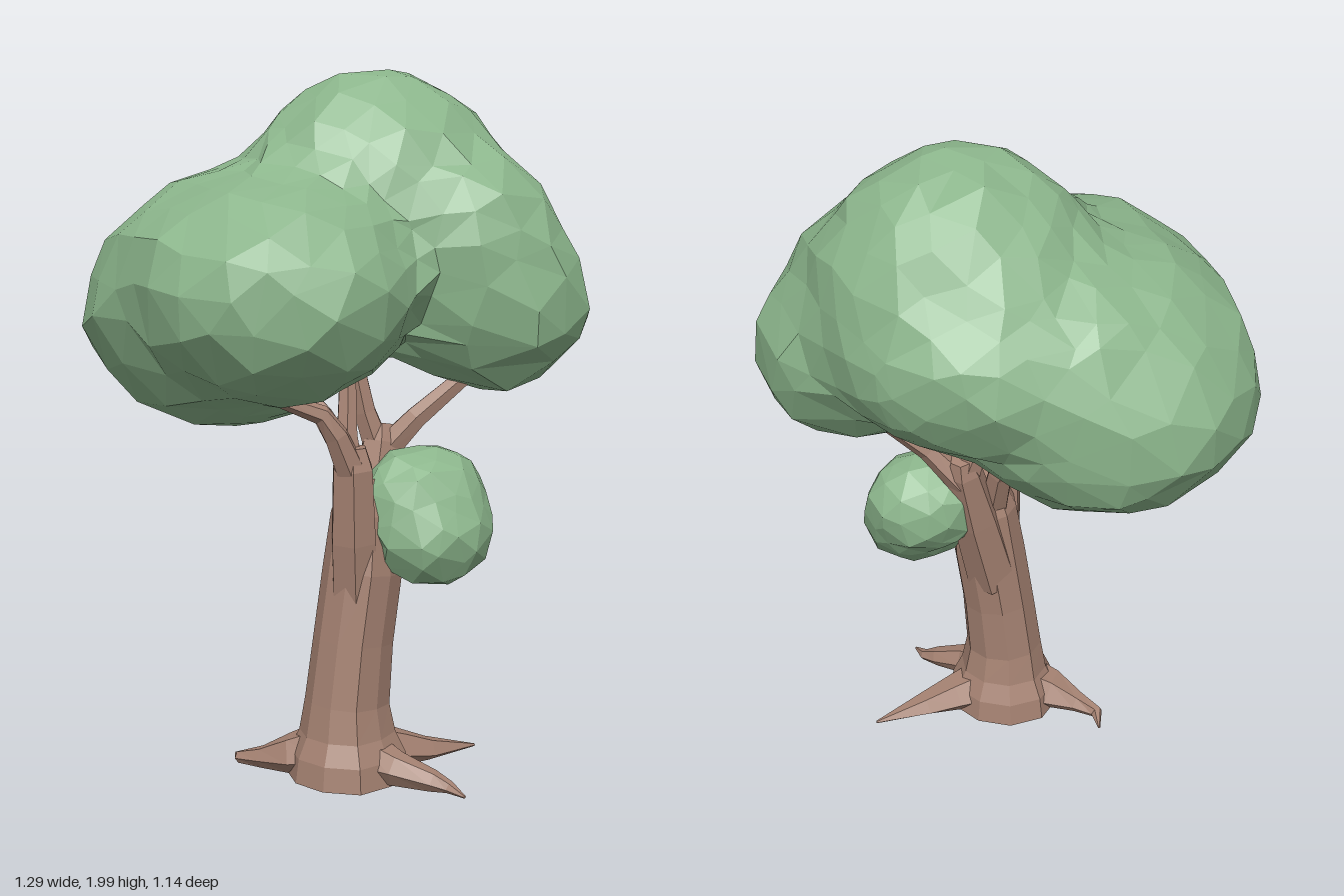
import * as THREE from 'three';
import { mergeVertices } from 'three/addons/utils/BufferGeometryUtils.js';

const V = (a) => new THREE.Vector3(...a);
const bark = new THREE.MeshStandardMaterial({ color: 0xa58272, flatShading: true, side: THREE.DoubleSide });
const leaf = new THREE.MeshStandardMaterial({ color: 0x8cb68c, flatShading: true });

// small seeded generator, -1..1
function seeded(seed) {
  let s = seed;
  return () => {
    s = (s * 16807) % 2147483647;
    return (s / 2147483647) * 2 - 1;
  };
}

// tapered limb lofted through rows of [x, y, z, radius], open at the start, capped at the end
function limb(rows, sides, ref, wobble = 0) {
  const rand = seeded(rows.length * 71 + sides);
  const pts = rows.map((r) => V(r.slice(0, 3)));
  const bumps = Array.from({ length: sides }, () => 1 + wobble * rand());
  const pos = [];
  const index = [];
  const last = rows.length - 1;
  rows.forEach((row, i) => {
    const t = pts[Math.min(i + 1, last)].clone().sub(pts[Math.max(i - 1, 0)]).normalize();
    const n = ref.clone().cross(t).normalize();
    const b = t.clone().cross(n);
    for (let j = 0; j < sides; j++) {
      const a = (j / sides) * Math.PI * 2;
      const r = row[3] * bumps[j];
      const p = pts[i].clone().addScaledVector(n, Math.cos(a) * r).addScaledVector(b, Math.sin(a) * r);
      pos.push(p.x, Math.max(p.y, 0), p.z);
      if (i < last) {
        const k = i * sides;
        const j2 = (j + 1) % sides;
        index.push(k + j, k + j2, k + sides + j2, k + j, k + sides + j2, k + sides + j);
      }
    }
  });
  const c = pos.length / 3;
  pos.push(...pts[last].toArray());
  for (let j = 0; j < sides; j++) index.push(c, last * sides + j, last * sides + ((j + 1) % sides));
  const g = new THREE.BufferGeometry();
  g.setAttribute('position', new THREE.Float32BufferAttribute(pos, 3));
  g.setIndex(index);
  g.computeVertexNormals();
  return g;
}

// faceted foliage: a sphere shrunk from outside onto a soft union of ellipsoids
function foliage(center, lobes, detail, seed, rough) {
  const rand = seeded(seed);
  const parts = lobes.map(([c, r]) => ({ c: V(c), r: V(r) }));
  const field = (p) => {
    let sum = 0;
    for (const { c, r } of parts) sum += Math.exp(-12 * (p.clone().sub(c).divide(r).length() - 1));
    return -Math.log(sum) / 12;
  };
  let g = new THREE.IcosahedronGeometry(1, detail);
  g.deleteAttribute('uv');
  g.deleteAttribute('normal');
  g = mergeVertices(g, 1e-4);
  const pos = g.attributes.position;
  const origin = V(center);
  const jitter = 0.3 / (detail + 1);
  for (let i = 0; i < pos.count; i++) {
    const d = new THREE.Vector3().fromBufferAttribute(pos, i);
    d.add(V([rand(), rand(), rand()]).multiplyScalar(jitter)).normalize();
    let t = 1.1;
    while (t > 0.05 && field(origin.clone().addScaledVector(d, t)) > 0) t -= 0.005;
    d.multiplyScalar(t + rough * rand()).add(origin);
    pos.setXYZ(i, d.x, d.y, d.z);
  }
  g.computeVertexNormals();
  return g;
}

export function createModel() {
  const tree = new THREE.Group();
  tree.name = 'tree';
  const add = (name, geometry, material) => {
    const m = new THREE.Mesh(geometry, material);
    m.name = name;
    tree.add(m);
  };
  const up = V([0, 1, 0]);
  const front = V([0, 0, 1]);

  // trunk with a flared foot
  add('trunk', limb([
    [-0.07, 0, 0.23, 0.175], [-0.07, 0.07, 0.23, 0.165], [-0.07, 0.13, 0.23, 0.137],
    [-0.07, 0.22, 0.23, 0.12], [-0.05, 0.4, 0.23, 0.113], [-0.02, 0.6, 0.23, 0.112],
    [0, 0.76, 0.22, 0.1], [0.01, 0.86, 0.21, 0.06],
  ], 10, front, 0.05), bark);

  // roots creeping over the ground
  const roots = {
    leftRoot: [[-0.02, 0.06, 0.23, 0.09], [0.1, 0.04, 0.24, 0.065], [0.2, 0.018, 0.25, 0.045], [0.37, 0.004, 0.25, 0.004]],
    frontRoot: [[-0.04, 0.06, 0.28, 0.08], [0, 0.05, 0.39, 0.05], [0.07, 0.025, 0.47, 0.033], [0.1, 0.012, 0.51, 0.02], [0.11, 0.004, 0.57, 0.004]],
    rightRoot: [[-0.1, 0.06, 0.2, 0.1], [-0.19, 0.04, 0.13, 0.07], [-0.25, 0.025, 0.06, 0.035], [-0.29, 0.015, 0, 0.02], [-0.27, 0.004, -0.06, 0.004]],
  };
  for (const [name, rows] of Object.entries(roots)) add(name, limb(rows, 6, up), bark);

  // two main stems and the twigs that fork into the crown
  const branches = {
    rightStem: [[-0.05, 0.45, 0.25, 0.07], [-0.07, 0.7, 0.27, 0.07], [-0.08, 0.91, 0.28, 0.062], [-0.08, 0.97, 0.28, 0.04]],
    leftStem: [[-0.02, 0.5, 0.2, 0.085], [0.05, 0.75, 0.17, 0.075], [0.1, 0.94, 0.14, 0.055], [0.11, 0.99, 0.13, 0.035]],
    rightOuterTwig: [[-0.09, 0.9, 0.29, 0.045], [-0.14, 1.01, 0.29, 0.036], [-0.18, 1.07, 0.28, 0.028], [-0.3, 1.12, 0.25, 0.02]],
    rightInnerTwig: [[-0.08, 0.9, 0.26, 0.045], [-0.08, 1, 0.25, 0.032], [-0.06, 1.15, 0.22, 0.026]],
    leftInnerTwig: [[0.1, 0.9, 0.14, 0.045], [0.06, 1.03, 0.12, 0.035], [0.03, 1.2, 0.1, 0.028]],
    leftOuterTwig: [[0.1, 0.9, 0.14, 0.045], [0.19, 1.01, 0.19, 0.035], [0.35, 1.15, 0.25, 0.026]],
    backTwig: [[-0.01, 0.72, 0.2, 0.05], [-0.01, 0.92, 0.12, 0.04], [-0.04, 1.02, 0.05, 0.032], [-0.08, 1.12, -0.08, 0.025]],
  };
  for (const [name, rows] of Object.entries(branches)) add(name, limb(rows, 6, front), bark);

  // large crown: right front, right back, shoulder, broad core, top, left front and left low lobes
  add('crown', foliage([0.03, 1.42, 0.06], [
    [[-0.27, 1.4, 0.16], [0.38, 0.31, 0.41]],
    [[-0.22, 1.3, -0.17], [0.42, 0.33, 0.4]],
    [[-0.2, 1.43, -0.08], [0.42, 0.28, 0.38]],
    [[0.03, 1.47, -0.04], [0.5, 0.31, 0.41]],
    [[0.15, 1.62, 0.04], [0.39, 0.37, 0.34]],
    [[0.29, 1.53, 0.21], [0.26, 0.28, 0.31]],
    [[0.38, 1.36, 0.28], [0.28, 0.28, 0.28]],
  ], 5, 1234, 0.012), leaf);

  // small clump beside the trunk
  add('sideClump', foliage([0.165, 0.75, 0.28], [
    [[0.165, 0.79, 0.265], [0.2, 0.155, 0.165]],
    [[0.165, 0.695, 0.33], [0.19, 0.145, 0.135]],
  ], 2, 77, 0.006), leaf);

  return tree;
}
